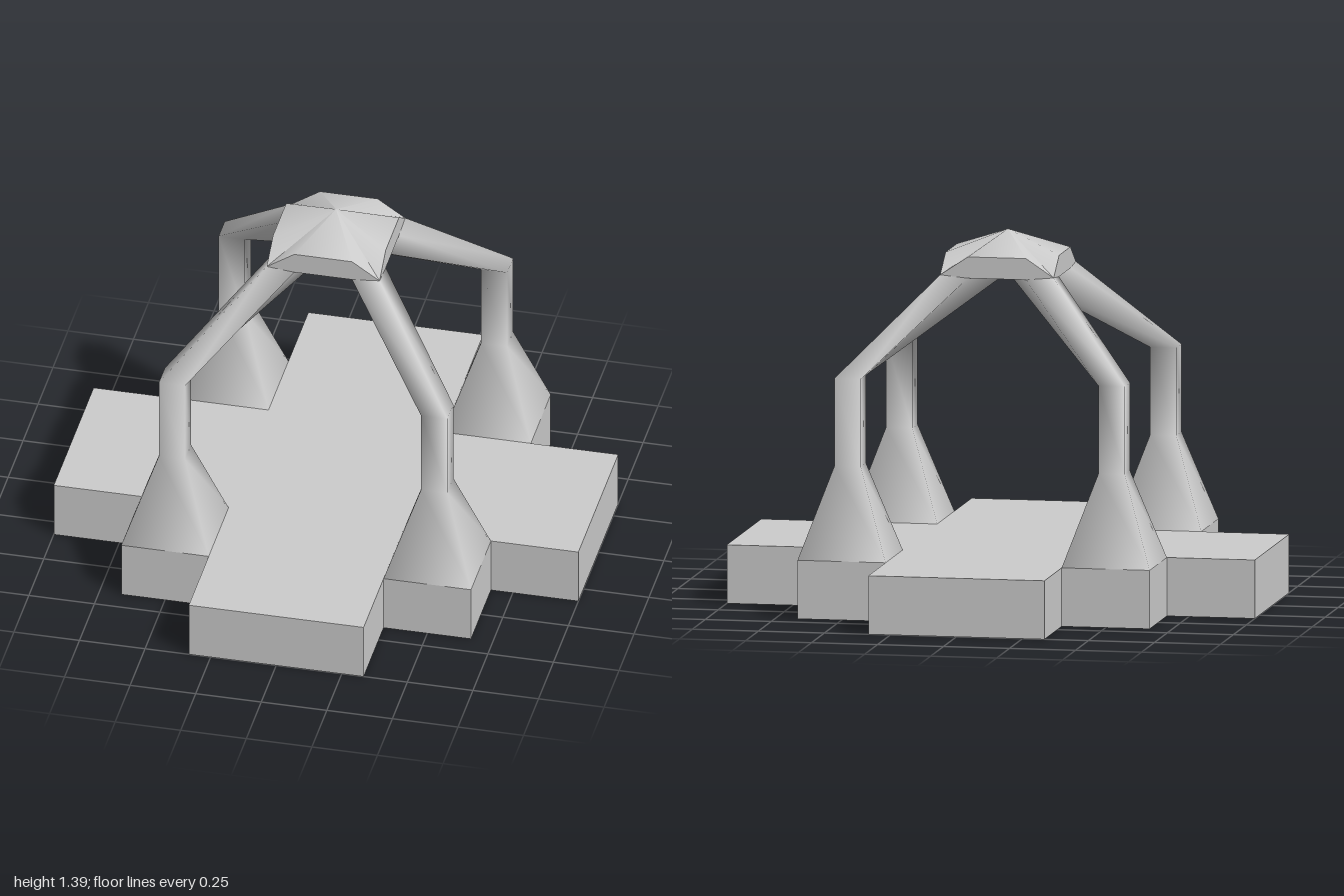
import * as THREE from 'three';
import { mergeVertices, toCreasedNormals } from 'three/addons/utils/BufferGeometryUtils.js';

const T = 1 / 3, BASE_Y = 0.22;
const material = new THREE.MeshStandardMaterial({ color: 0xcccccc, side: THREE.DoubleSide });

// Geometry from polygons, each a list of [x, y, z] corners
function fromPolygons(polygons) {
  const pos = [];
  for (const p of polygons)
    for (let i = 1; i < p.length - 1; i++) pos.push(...p[0], ...p[i], ...p[i + 1]);
  const g = new THREE.BufferGeometry();
  g.setAttribute('position', new THREE.Float32BufferAttribute(pos, 3));
  return g;
}

// Repeats a list of [x, z] points by quarter turns
function fourfold(points) {
  const out = [];
  let pts = points;
  for (let k = 0; k < 4; k++) {
    out.push(...pts);
    pts = pts.map(([x, z]) => [-z, x]);
  }
  return out;
}

function part(name, geometry) {
  const m = new THREE.Mesh(geometry, material);
  m.name = name;
  return m;
}

function square(a, b, y) {
  return [[a, y, a], [b, y, a], [b, y, b], [a, y, b]];
}

export function createModel() {
  const model = new THREE.Group();
  model.name = 'crossPavilion';

  // Stepped outer wall of the base, open underneath
  const outline = fourfold([[1, -T], [1, T], [2 * T, T], [2 * T, 2 * T], [T, 2 * T]]);
  const walls = outline.map(([x, z], i) => {
    const [u, w] = outline[(i + 1) % outline.length];
    return [[x, 0, z], [x, BASE_Y, z], [u, BASE_Y, w], [u, 0, w]];
  });
  const wallGeometry = fromPolygons(walls);
  wallGeometry.computeVertexNormals();
  model.add(part('baseWalls', wallGeometry));

  // Cross-shaped floor
  const cross = fourfold([[1, -T], [1, T], [T, T]]).map(([x, z]) => new THREE.Vector2(x, -z));
  const floor = new THREE.ShapeGeometry(new THREE.Shape(cross));
  floor.rotateX(-Math.PI / 2).translate(0, BASE_Y, 0);
  model.add(part('floor', floor));

  // Leg: flared foot, square column, then a beam rising to the hub
  const rings = [
    square(T, 2 * T, BASE_Y),
    square(0.45, 0.55, 0.56),
    square(0.45, 0.55, 0.89),
    [[0, 1.225, 0], [0.215, 1.23, 0.11], [0.215, 1.24, 0.215], [0.11, 1.23, 0.215]],
  ];
  const legFaces = [];
  for (let r = 0; r < rings.length - 1; r++)
    for (let i = 0; i < 4; i++) {
      const j = (i + 1) % 4;
      legFaces.push([rings[r][i], rings[r + 1][i], rings[r + 1][j], rings[r][j]]);
    }
  const legGeometry = mergeVertices(fromPolygons(legFaces));
  legGeometry.computeVertexNormals();

  // One side of the hub: end face, sloping roof and underside
  const l = [-0.11, 1.23, 0.215], r = [0.11, 1.23, 0.215];
  const tl = [-0.11, 1.31, 0.215], tr = [0.11, 1.31, 0.215];
  const cl = [-0.215, 1.24, 0.215], cr = [0.215, 1.24, 0.215];
  const apex = [0, 1.388, 0], under = [0, 1.225, 0];
  const hubGeometry = toCreasedNormals(fromPolygons([
    [l, r, tr, tl], [r, cr, tr], [l, tl, cl],
    [apex, cl, tl], [apex, tl, tr], [apex, tr, cr],
    [under, r, l],
  ]), 0.7);

  for (let k = 0; k < 4; k++) {
    const leg = part('leg', legGeometry);
    const hub = part('hubSide', hubGeometry);
    leg.rotation.y = hub.rotation.y = k * Math.PI / 2;
    model.add(leg, hub);
  }
  return model;
}
